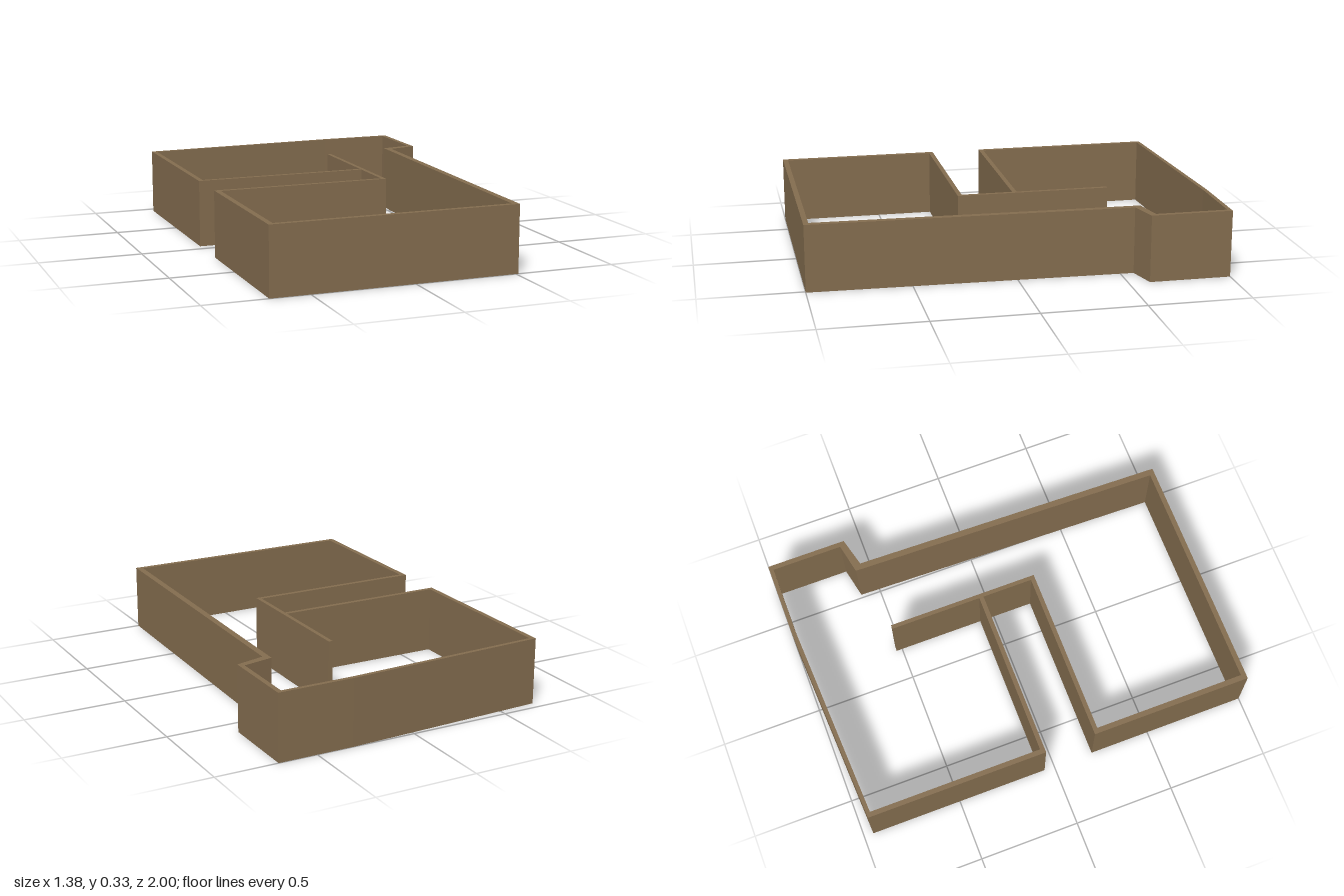
import * as THREE from 'three';

const HEIGHT = 0.327;

// Plan corners as [x, z]: outer runs one way round, inner the other
const outer = [
  [-0.692, -0.953], [0.32, -1], [0.692, -1], [0.692, -0.603], [0.547, -0.565], [0.512, 1],
  [-0.692, 1], [-0.692, 0.2], [0.162, 0.2], [0.162, -0.052], [-0.692, -0.052],
];
const inner = [
  [-0.668, -0.074], [0.162, -0.074], [0.162, -0.53], [0.182, -0.53], [0.182, 0.222],
  [-0.666, 0.222], [-0.666, 0.975], [0.482, 0.975], [0.517, -0.598], [0.668, -0.63],
  [0.668, -0.98], [0.32, -0.98], [-0.668, -0.935],
];

const toPoints = (plan) => plan.map(([x, z]) => new THREE.Vector2(x, -z));

export function createModel() {
  const group = new THREE.Group();
  group.name = 'floorPlan';

  // Continuous walls, including the free-standing partition end
  const wallShape = new THREE.Shape(toPoints(outer));
  wallShape.holes.push(new THREE.Path(toPoints(inner)));
  const geometry = new THREE.ExtrudeGeometry(wallShape, { depth: HEIGHT, bevelEnabled: false });
  geometry.rotateX(-Math.PI / 2);

  const walls = new THREE.Mesh(geometry, new THREE.MeshStandardMaterial({ color: 0x846d4f }));
  walls.name = 'walls';
  group.add(walls);

  return group;
}
